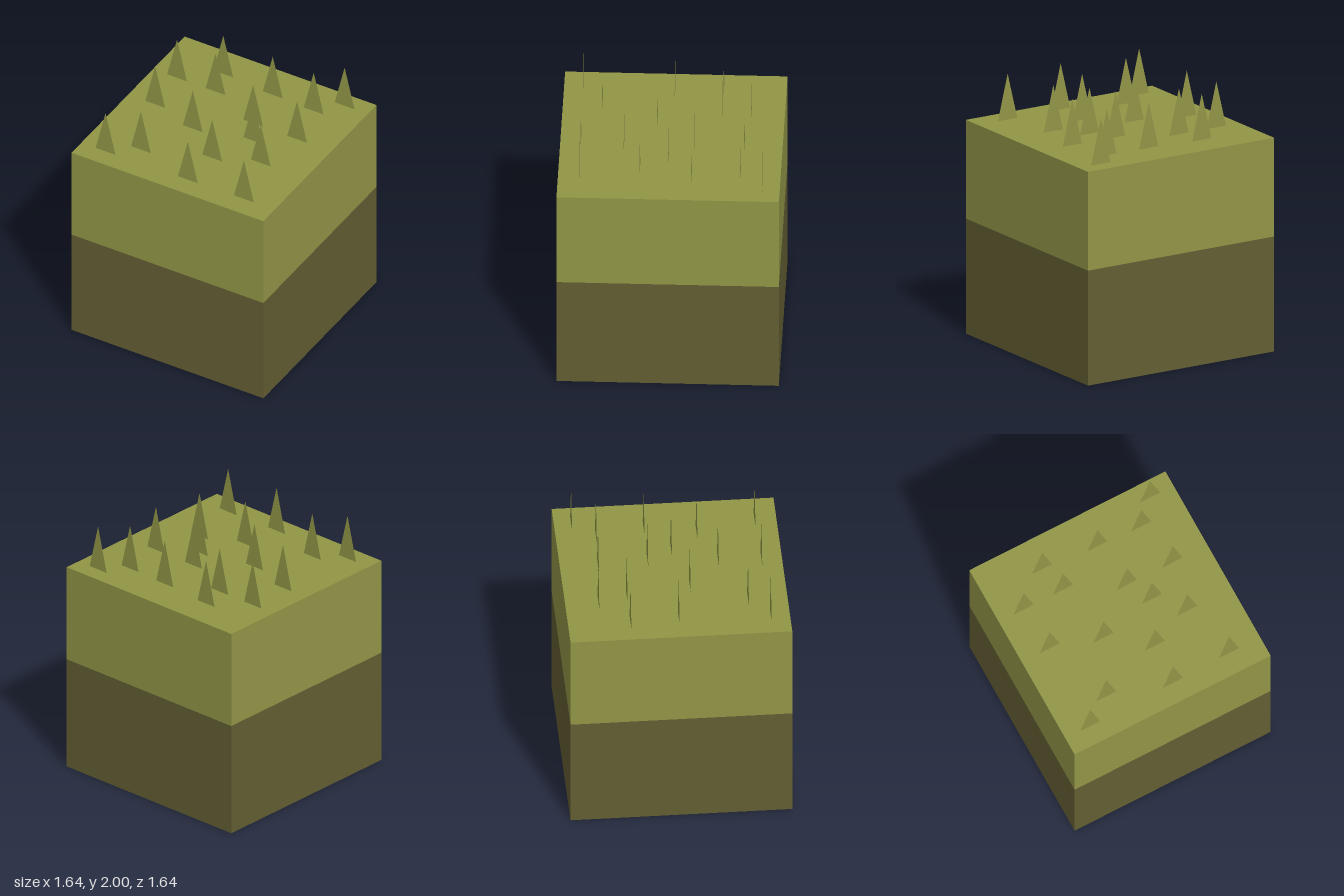
import * as THREE from 'three';

const SIZE = 1.645, SPLIT = 0.885, TOP = 2, HALF_BLADE = 0.085;

// Position of each grass blade on the top face: [x, z]
const BLADES = [
  [-0.615, 0.68], [-0.4, 0.53], [-0.59, 0], [-0.615, -0.36], [-0.345, -0.575],
  [-0.285, -0.36], [-0.2, 0.115], [0.1, -0.54], [0.46, -0.525], [0.625, -0.695],
  [0.53, -0.165], [0.15, -0.17], [0.26, 0.015], [0.445, 0.22], [0.105, 0.35],
  [0.085, 0.67], [0.56, 0.66],
];

function material(name, color, side = THREE.FrontSide) {
  const m = new THREE.MeshStandardMaterial({ color, side });
  m.name = name;
  return m;
}

export function createModel() {
  const model = new THREE.Group();
  model.name = 'grassBlock';
  const grass = material('grassGreen', 0x929646, THREE.DoubleSide);
  const soil = material('soilBrown', 0x635e33);

  // Block: the middle ring of vertices is moved to the soil line
  const geometry = new THREE.BoxGeometry(SIZE, SIZE, SIZE, 1, 2, 1);
  geometry.translate(0, SIZE / 2, 0);
  const pos = geometry.attributes.position;
  for (let i = 0; i < pos.count; i++) {
    if (Math.abs(pos.getY(i) - SIZE / 2) < 0.01) pos.setY(i, SPLIT);
  }
  // Grass on the top face and upper rows, soil on the lower rows and bottom
  geometry.clearGroups();
  for (const start of [0, 12, 24, 36, 48]) {
    geometry.addGroup(start, 6, 0);
    geometry.addGroup(start + 6, 6, 1);
  }
  const block = new THREE.Mesh(geometry, [grass, soil]);
  block.name = 'block';
  model.add(block);

  // Grass blades: flat upright triangles facing the front
  const bladeShape = new THREE.Shape([
    new THREE.Vector2(-HALF_BLADE, 0),
    new THREE.Vector2(HALF_BLADE, 0),
    new THREE.Vector2(0, TOP - SIZE),
  ]);
  const bladeGeometry = new THREE.ShapeGeometry(bladeShape);
  const blades = new THREE.Group();
  blades.name = 'grassBlades';
  BLADES.forEach(([x, z], i) => {
    const blade = new THREE.Mesh(bladeGeometry, grass);
    blade.name = `grassBlade${i + 1}`;
    blade.position.set(x, SIZE, z);
    blades.add(blade);
  });
  model.add(blades);
  return model;
}
